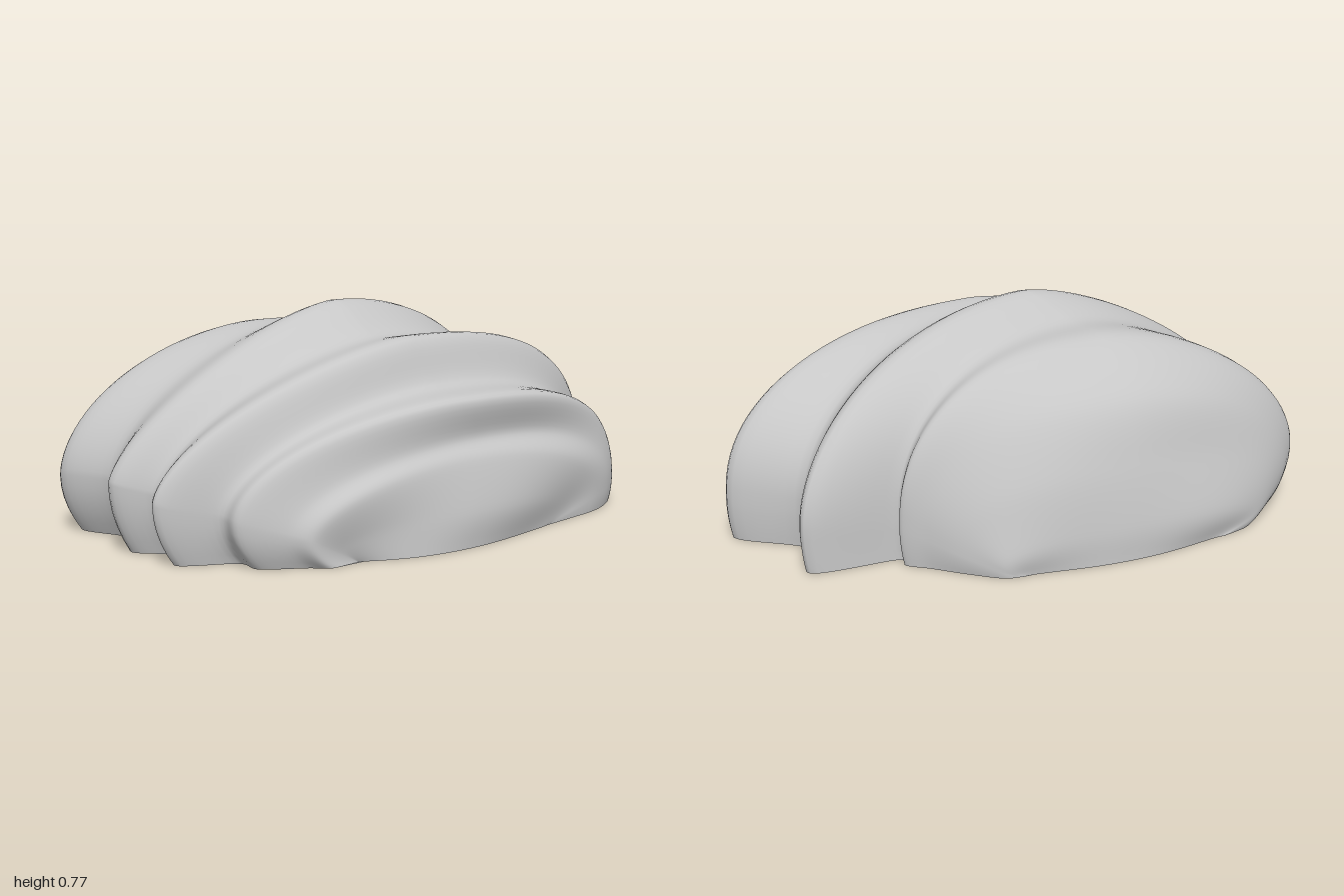
import * as THREE from 'three';

// Ribs from back to front:
// [left x, left z, middle z, right x, right z, height, left roundness, right roundness]
const RIBS = [
  [-0.60, -0.56, -0.62, 0.16, -0.62, 0.0, 2.2, 2.4],
  [-0.73, -0.52, -0.63, 0.23, -0.61, 0.12, 2.2, 2.4],
  [-0.84, -0.45, -0.58, 0.34, -0.54, 0.32, 2.1, 2.4],
  [-0.94, -0.36, -0.49, 0.44, -0.46, 0.52, 1.9, 2.4],
  [-1.00, -0.25, -0.31, 0.51, -0.41, 0.67, 1.8, 2.4],
  [-0.90, -0.06, -0.13, 0.52, -0.36, 0.685, 1.7, 2.3],
  [-0.98, 0.10, 0.03, 0.82, -0.36, 0.768, 1.45, 1.9],
  [-0.87, 0.21, 0.20, 0.78, -0.17, 0.66, 1.6, 2.2],
  [-0.93, 0.33, 0.34, 1.00, 0.00, 0.66, 1.6, 2.4],
  [-0.75, 0.41, 0.43, 0.88, 0.16, 0.51, 1.8, 2.4],
  [-0.73, 0.50, 0.56, 0.93, 0.30, 0.478, 1.9, 2.4],
  [-0.59, 0.57, 0.55, 0.85, 0.39, 0.35, 1.9, 2.3],
  [-0.52, 0.61, 0.61, 0.74, 0.45, 0.28, 1.9, 2.2],
  [-0.42, 0.60, 0.635, 0.60, 0.49, 0.12, 2.0, 2.2],
  [-0.35, 0.59, 0.64, 0.45, 0.53, 0.0, 2.2, 2.4],
];
const COLS = 60, FOOT = 5, STEPS = 7;

// Point k of one rib: a tucked-in foot, a rounded arch between the widest points, another foot
function archPoint([xl, zl, zm, xr, zr, h, nLeft, nRight], k, i) {
  const a = Math.PI * (1 - THREE.MathUtils.clamp((k - FOOT) / (COLS - 2 * FOOT), 0, 1));
  const cos = Math.cos(a), onLeft = cos < 0;
  const n = onLeft ? nLeft : nRight;
  const widestY = h * (onLeft ? 0.3 : 0.2);
  const drop = Math.max(0, FOOT - Math.min(k, COLS - k)) / FOOT;
  const c = Math.sign(cos) * Math.pow(Math.abs(cos), 2 / n);
  const s = Math.pow(Math.max(0, Math.sin(a)), 2 / n);
  const tuck = drop * drop * Math.min(1, h * 3) * (onLeft ? 0.07 : 0.015);
  return new THREE.Vector3(
    (xl + xr) / 2 + (xr - xl) / 2 * c - Math.sign(c) * tuck,
    drop > 0 ? widestY * (1 - drop) : widestY + (h - widestY) * s,
    zm + (zr - zl) / 2 * c + ((zr + zl) / 2 - zm) * c * c + 0.01 * Math.sin(k / 6 + i * 2.1) * s
  );
}

function buildGeometry(points, rows, cols, flip) {
  const index = [];
  for (let r = 0; r < rows - 1; r++) {
    for (let k = 0; k < cols - 1; k++) {
      const a = r * cols + k, b = a + 1, c = a + cols, d = c + 1;
      if (flip) index.push(a, b, c, b, d, c);
      else index.push(a, c, b, b, c, d);
    }
  }
  const g = new THREE.BufferGeometry().setFromPoints(points);
  g.setIndex(index);
  g.computeVertexNormals();
  return g;
}

export function createModel() {
  const group = new THREE.Group();
  group.name = 'ridgedRock';
  const stone = new THREE.MeshStandardMaterial({ color: 0xc7c7c7 });
  stone.name = 'light grey stone';

  // Smooth curves running front to back through the ribs, one per column
  const rows = (RIBS.length - 1) * STEPS + 1;
  const columns = [];
  for (let k = 0; k <= COLS; k++) {
    const curve = new THREE.CatmullRomCurve3(
      RIBS.map((rib, i) => archPoint(rib, k, i)), false, 'catmullrom', 0.45);
    columns.push(curve.getPoints(rows - 1));
  }
  const shellPoints = [], basePoints = [];
  for (let r = 0; r < rows; r++) {
    for (const column of columns) {
      column[r].y = Math.max(0, column[r].y);
      shellPoints.push(column[r]);
    }
    basePoints.push(columns[0][r].clone().setY(0), columns[COLS][r].clone().setY(0));
  }

  // Ridged upper surface
  const shell = new THREE.Mesh(buildGeometry(shellPoints, rows, COLS + 1, false), stone);
  shell.name = 'ridgedSurface';
  group.add(shell);

  // Flat underside, closed between the feet of the ribs and along the two end ribs
  const base = new THREE.Mesh(buildGeometry(basePoints, rows, 2, true), stone);
  base.name = 'underside';
  group.add(base);
  [[0, true], [rows - 1, false]].forEach(([r, back]) => {
    const pts = [];
    const left = columns[0][r], right = columns[COLS][r];
    for (const column of columns) {
      const p = column[r];
      const t = (p.x - left.x) / (right.x - left.x);
      pts.push(new THREE.Vector3(p.x, 0, THREE.MathUtils.lerp(left.z, right.z, t)));
    }
    for (const column of columns) pts.push(column[r].clone().setY(0));
    const cap = new THREE.Mesh(buildGeometry(pts, 2, COLS + 1, !back), stone);
    cap.name = back ? 'undersideBackEdge' : 'undersideFrontEdge';
    group.add(cap);
  });
  return group;
}
